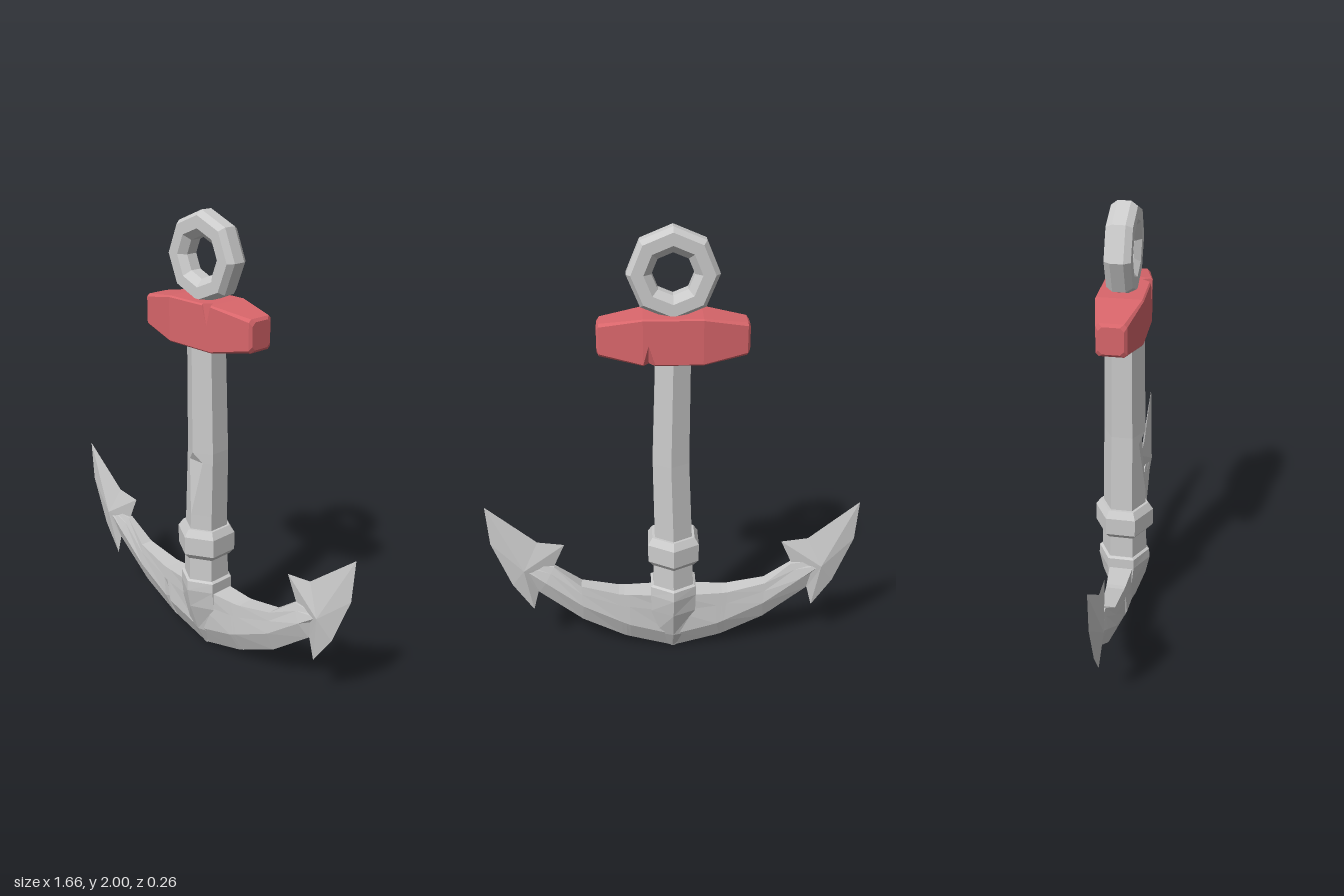
import * as THREE from 'three';

const grey = new THREE.MeshStandardMaterial({ color: 0xcccccc, flatShading: true });
const red = new THREE.MeshStandardMaterial({ color: 0xd9666b, flatShading: true });

// Skin a list of rings (equal point counts, counter-clockwise seen from the last ring) and cap both ends.
function loft(rings) {
  const n = rings[0].length, index = [];
  rings.slice(1).forEach((_, i) => {
    for (let j = 0; j < n; j++) {
      const a = i * n + j, b = i * n + (j + 1) % n;
      index.push(a, b, b + n, a, b + n, a + n);
    }
  });
  const last = (rings.length - 1) * n;
  for (let j = 1; j < n - 1; j++) index.push(0, j + 1, j, last, last + j, last + j + 1);
  const geometry = new THREE.BufferGeometry();
  geometry.setAttribute('position', new THREE.Float32BufferAttribute(rings.flat(2), 3));
  geometry.setIndex(index);
  geometry.computeVertexNormals();
  return geometry;
}

// Horizontal hexagon with corners on z; 'split' opens the front corner into a chip.
function hexRing(y, rx, rz, cx = 0, split = 0) {
  const ring = [];
  for (let i = 0; i < 6; i++) {
    const t = i * Math.PI / 3;
    if (i > 0) ring.push([cx + Math.sin(t) * rx, y, Math.cos(t) * rz]);
  }
  const z = rz - split * 0.577 * rz / rx;
  return [[cx + split, y, z], ...ring, [cx - split, y, z]];
}

// Upright rectangle across x with small corner chamfers; 'nick' enlarges two opposite ones.
function stockRing(x, hy, hz, c = 0.006, nick = 0) {
  const cy = c + nick, cz = c + nick * 0.4, y = 1.553;
  return [
    [hy, hz - cz], [hy - cy, hz], [-hy + c, hz], [-hy, hz - c],
    [-hy, -hz + cz], [-hy + cy, -hz], [hy - c, -hz], [hy, -hz + c],
  ].map(([dy, z]) => [x, y + dy, z]);
}

// Arm section: flat top, side ridge, sharp keel; 'nick' dents the front ridge.
function armRing(top, mid, keel, zTop, zMid, nick = 0) {
  const f = 0.4;
  const ux = top[0] + (mid[0] - top[0]) * f, uy = top[1] + (mid[1] - top[1]) * f;
  const uz = zTop + (zMid - zTop) * f;
  return [
    [...top, zTop], [ux, uy, uz], [...mid, zMid - nick], [...keel, 0],
    [...mid, -zMid], [ux, uy, -uz], [...top, -zTop],
  ];
}

const mirror = (points, side) => points.map(([x, y, z]) => [x * side, y, z]);

function armGeometry(side) {
  const rings = [
    armRing([0, 0.325], [0, 0.1], [0, 0.005], 0.06, 0.045),
    armRing([0.2, 0.325], [0.2, 0.157], [0.2, 0.06], 0.045, 0.045),
    armRing([0.225, 0.325], [0.215, 0.163], [0.22, 0.066], 0.043, 0.044, side < 0 ? 0.025 : 0),
    armRing([0.25, 0.327], [0.235, 0.172], [0.24, 0.075], 0.041, 0.043),
    armRing([0.42, 0.365], [0.415, 0.26], [0.42, 0.165], 0.03, 0.036),
    armRing([0.54, 0.46], [0.58, 0.385], [0.615, 0.32], 0.012, 0.03),
    armRing([0.66, 0.47], [0.67, 0.45], [0.68, 0.43], 0.012, 0.022),
  ].map(ring => mirror(ring, side));
  return loft(side < 0 ? rings.reverse() : rings);
}

// Barbed blade: sharp outline with a raised point on both faces.
function flukeGeometry(side) {
  const outline = [
    [0.54, 0.46], [0.62, 0.32], [0.645, 0.225], [0.735, 0.36], [0.82, 0.58],
    [0.832, 0.768], [0.61, 0.585], [0.49, 0.57],
  ].map(([x, y]) => [x, y, 0]);
  const points = mirror([...outline, [0.675, 0.45, 0.03], [0.675, 0.45, -0.03]], side);
  const n = outline.length, index = [];
  for (let i = 0; i < n; i++) {
    const [a, b] = side > 0 ? [i, (i + 1) % n] : [(i + 1) % n, i];
    index.push(a, b, n, b, a, n + 1);
  }
  const geometry = new THREE.BufferGeometry();
  geometry.setAttribute('position', new THREE.Float32BufferAttribute(points.flat(), 3));
  geometry.setIndex(index);
  geometry.computeVertexNormals();
  return geometry;
}

export function createModel() {
  const model = new THREE.Group();
  model.name = 'anchor';
  const add = (name, geometry, material = grey) => {
    const mesh = new THREE.Mesh(geometry, material);
    mesh.name = name;
    model.add(mesh);
    return mesh;
  };

  // Eight-sided ring with a bevelled section
  const section = [
    [0.187, -0.026], [0.187, 0.026], [0.168, 0.052], [0.117, 0.052],
    [0.086, 0.025], [0.086, -0.025], [0.117, -0.052], [0.168, -0.052], [0.187, -0.026],
  ].map(([r, h]) => new THREE.Vector2(r, h));
  const ring = add('ring', new THREE.LatheGeometry(section, 8).rotateX(Math.PI / 2));
  ring.position.y = 1.813;

  // Tapered stock with nicked edges
  add('stock', loft([
    stockRing(-0.31, 0.056, 0.05, 0.016),
    stockRing(-0.3, 0.068, 0.061, 0.012),
    stockRing(-0.12, 0.097, 0.096),
    stockRing(0.075, 0.097, 0.096),
    stockRing(0.1, 0.097, 0.096, 0.006, 0.08),
    stockRing(0.122, 0.097, 0.096),
    stockRing(0.3, 0.068, 0.061, 0.012),
    stockRing(0.31, 0.056, 0.05, 0.016),
  ]), red);

  // Six-sided shank with a chip in its front edge
  const hex = (y, r, cx, split) => hexRing(y, r, r, cx, split);
  add('shank', loft([
    hex(0.34, 0.104), hex(0.63, 0.095), hex(0.7, 0.094, 0.002), hex(0.95, 0.091, 0.009, 0.04),
    hex(0.995, 0.09, 0.01), hex(1.5, 0.083),
  ]));

  add('collar', loft([hex(0.49, 0.106), hex(0.517, 0.13), hex(0.6, 0.13), hex(0.632, 0.108)]));

  // Crown at the foot of the shank, narrowing to the keel
  add('crown', loft([
    hexRing(0.005, 0.01, 0.002), hexRing(0.1, 0.1, 0.052), hexRing(0.24, 0.116, 0.1),
    hexRing(0.33, 0.118, 0.118), hexRing(0.375, 0.118, 0.115), hexRing(0.382, 0.106, 0.104),
  ]));

  // Arms and flukes on both sides
  for (const [side, label] of [[1, 'left'], [-1, 'right']]) {
    add(label + 'Arm', armGeometry(side));
    add(label + 'Fluke', flukeGeometry(side));
  }

  // The whole anchor is turned slightly on its axis
  model.rotation.y = -0.075;
  return model;
}
